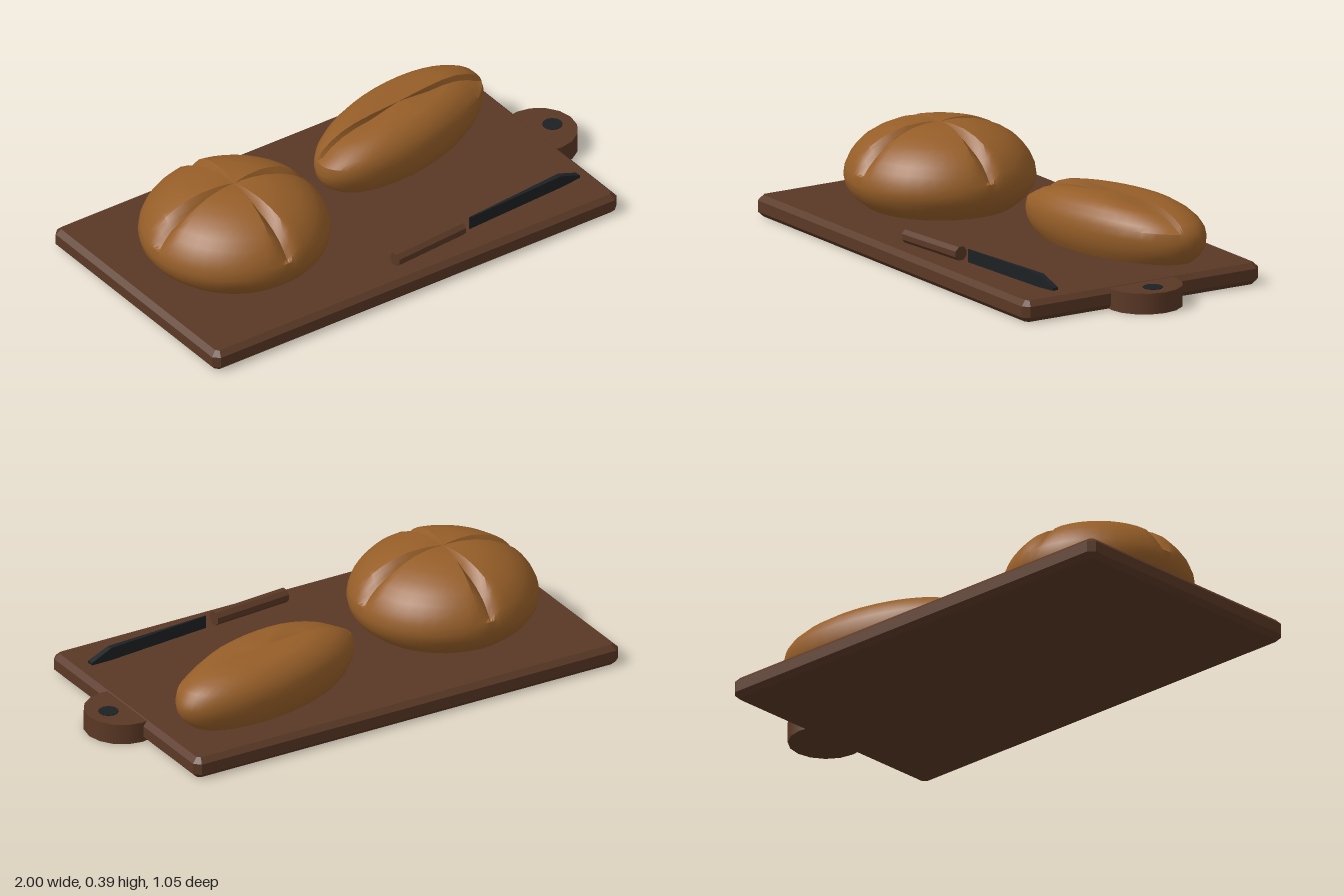
import * as THREE from 'three';
import { toCreasedNormals } from 'three/addons/utils/BufferGeometryUtils.js';

const material = (name, color, extra = {}) => {
  const m = new THREE.MeshStandardMaterial({ color, ...extra });
  m.name = name;
  return m;
};

function addMesh(parent, name, geometry, mat) {
  const mesh = new THREE.Mesh(geometry, mat);
  mesh.name = name;
  parent.add(mesh);
  return mesh;
}

// Angles packed closely around each of n evenly spaced slashes
function slashAngles(n, steps, phase) {
  const list = [];
  for (let k = 0; k < n; k++) {
    for (let i = -steps; i < steps; i++) {
      const t = i / steps;
      const offset = Math.sign(t) * Math.abs(t) ** 1.7 * Math.PI / n;
      list.push({ angle: phase + k * 2 * Math.PI / n + offset, offset, k });
    }
  }
  return list;
}

// Rings of a [radius, height] profile scaled to an oval; cut() lowers the crust
function loafGeometry(profile, angles, rx, rz, cut) {
  const pos = [], index = [], n = angles.length;
  for (const [r, y] of profile) {
    for (const a of angles) {
      pos.push(rx * r * Math.cos(a.angle), y - cut(r, y, a), rz * r * Math.sin(a.angle));
    }
  }
  for (let j = 0; j < profile.length - 1; j++) {
    for (let i = 0; i < n; i++) {
      const a = j * n + i, b = j * n + (i + 1) % n;
      if (j > 0) index.push(a, a + n, b);
      if (j < profile.length - 2) index.push(b, a + n, b + n);
    }
  }
  const g = new THREE.BufferGeometry();
  g.setAttribute('position', new THREE.Float32BufferAttribute(pos, 3));
  g.setIndex(index);
  return toCreasedNormals(g, 0.6);
}

export function createModel() {
  const model = new THREE.Group();
  model.name = 'breadBoard';
  const wood = material('dark wood', 0x5a3825);
  const crust = material('bread crust', 0x965e28);
  const steel = material('dark steel', 0x1d2123);

  // Board with clipped corners and bevelled edges
  const bevel = 0.02, hx = 0.925 - bevel, hz = 0.525 - bevel, c = 0.012;
  const outline = new THREE.Shape([
    [-hx + c, -hz], [hx - c, -hz], [hx, -hz + c], [hx, hz - c],
    [hx - c, hz], [-hx + c, hz], [-hx, hz - c], [-hx, -hz + c],
  ].map(([x, y]) => new THREE.Vector2(x, y)));
  const boardGeo = new THREE.ExtrudeGeometry(outline, {
    depth: 0.083 - 2 * bevel, bevelEnabled: true, bevelSegments: 1,
    bevelSize: bevel, bevelThickness: bevel,
  });
  boardGeo.rotateX(-Math.PI / 2).translate(-0.075, bevel, 0);
  addMesh(model, 'board', boardGeo, wood);

  // Rounded hanging tab with its dark hole
  addMesh(model, 'tab', new THREE.CylinderGeometry(0.145, 0.145, 0.08, 16), wood)
    .position.set(0.855, 0.04, 0);
  addMesh(model, 'tabHole', new THREE.CylinderGeometry(0.038, 0.038, 0.006, 12), steel)
    .position.set(0.915, 0.08, 0);

  // Round loaf with a cross cut into its crust
  const roundProfile = [
    [0, 0.08], [0.78, 0.08], [0.9, 0.115], [0.98, 0.155], [1, 0.19], [0.985, 0.225],
    [0.94, 0.262], [0.88, 0.292], [0.8, 0.322], [0.68, 0.35], [0.54, 0.372],
    [0.38, 0.388], [0.2, 0.394], [0.08, 0.393], [0, 0.388],
  ];
  const crossCut = (r, y, { offset }) => {
    if (y < 0.25 || r === 0) return 0;
    return 0.035 * Math.min(1, r * 3) * Math.max(0, 1 - Math.abs(offset) / 0.13);
  };
  addMesh(model, 'roundLoaf',
    loafGeometry(roundProfile, slashAngles(4, 8, 0), 0.36, 0.36, crossCut), crust)
    .position.x = -0.54;

  // Long loaf with one lengthwise slash, dropping away on its front side
  const longProfile = [
    [0, 0.08], [0.84, 0.08], [0.93, 0.11], [0.985, 0.145], [1, 0.18], [0.98, 0.212],
    [0.92, 0.24], [0.82, 0.264], [0.68, 0.284], [0.52, 0.294], [0.35, 0.296],
    [0.18, 0.296], [0, 0.294],
  ];
  const longCut = (r, y, { offset, k }) => {
    const front = k === 0 ? offset : -offset;
    if (y < 0.24 || r === 0 || front <= 0) return 0;
    const rise = Math.min(1, front / 0.06);
    return 0.022 * rise * Math.max(0, 1 - front / 1.1) * Math.min(1, r * 3);
  };
  const longLoaf = addMesh(model, 'longLoaf',
    loafGeometry(longProfile, slashAngles(2, 14, 0.29), 0.43, 0.19, longCut), crust);
  longLoaf.position.set(0.355, 0, -0.2);
  longLoaf.rotation.y = 0.235;

  // Knife handle
  const handleGeo = new THREE.CylinderGeometry(0.028, 0.028, 0.326, 8);
  handleGeo.rotateY(Math.PI / 8).rotateZ(Math.PI / 2);
  const handle = addMesh(model, 'knifeHandle', toCreasedNormals(handleGeo, 0.4), wood);
  handle.position.set(0.053, 0.11, 0.411);
  handle.rotation.y = 0.085;

  // Knife blade: thin at the handle, thicker and sloping down at the tip
  const bladeGeo = new THREE.BoxGeometry(0.53, 0.05, 1, 6, 1, 1);
  const p = bladeGeo.attributes.position;
  for (let i = 0; i < p.count; i++) {
    const t = p.getX(i) / 0.53 + 0.5;
    p.setZ(i, p.getZ(i) * (0.005 + 0.02 * t));
    if (t > 0.99) p.setY(i, p.getY(i) > 0 ? -0.01 : -0.02);
  }
  const flatBlade = bladeGeo.toNonIndexed();
  flatBlade.computeVertexNormals();
  const blade = addMesh(model, 'knifeBlade', flatBlade, steel);
  blade.position.set(0.52, 0.11, 0.369);
  blade.rotation.y = 0.08;

  return model;
}
